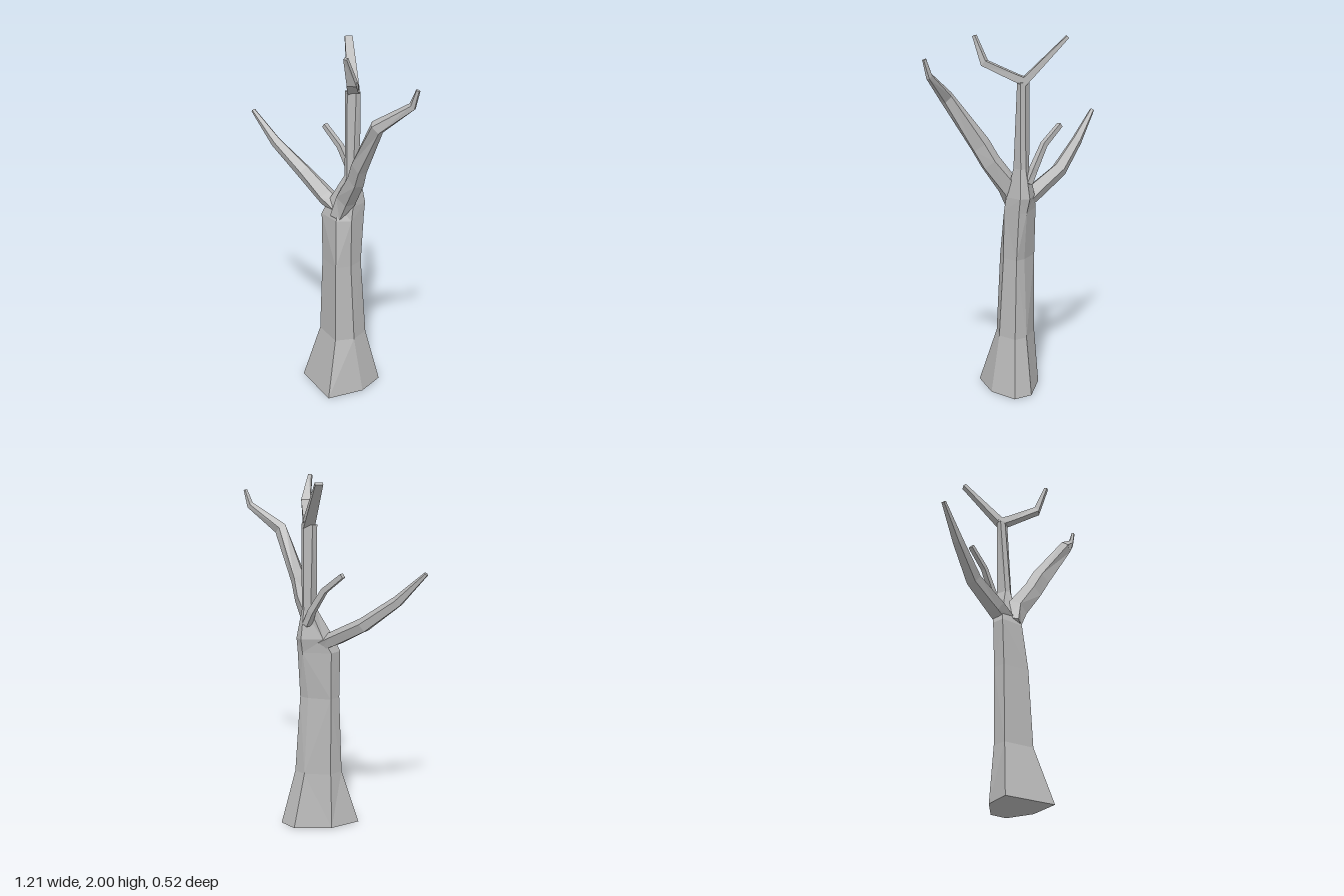
import * as THREE from 'three';

// Skins a stack of closed rings with facets and caps both ends
function loft(rings) {
  const n = rings[0].length, pos = [];
  const tri = (...ps) => ps.forEach((p) => pos.push(p.x, p.y, p.z));
  for (let r = 0; r < rings.length - 1; r++) {
    for (let i = 0; i < n; i++) {
      const j = (i + 1) % n, lo = rings[r], hi = rings[r + 1];
      if ((r + i) % 2) {
        tri(lo[i], lo[j], hi[j]);
        tri(lo[i], hi[j], hi[i]);
      } else {
        tri(lo[i], lo[j], hi[i]);
        tri(lo[j], hi[j], hi[i]);
      }
    }
  }
  const first = rings[0], last = rings[rings.length - 1];
  for (let i = 1; i < n - 1; i++) {
    tri(first[0], first[i + 1], first[i]);
    tri(last[0], last[i], last[i + 1]);
  }
  const g = new THREE.BufferGeometry();
  g.setAttribute('position', new THREE.Float32BufferAttribute(pos, 3));
  g.computeVertexNormals();
  return g;
}

// Tapered limb through stations [x, y, z, half width, half thickness]
function limb(stations, sides, turn) {
  const pts = stations.map(([x, y, z]) => new THREE.Vector3(x, y, z));
  const up = new THREE.Vector3(0, 1, 0);
  const rings = stations.map(([, , , w, h], k) => {
    const a = pts[Math.max(k - 1, 0)], b = pts[Math.min(k + 1, pts.length - 1)];
    const t = b.clone().sub(a).normalize();
    const u = up.clone().cross(t).normalize();
    const v = t.clone().cross(u);
    return Array.from({ length: sides }, (_, i) => {
      const ang = turn + (i / sides) * Math.PI * 2;
      return pts[k].clone().addScaledVector(u, Math.cos(ang) * w).addScaledVector(v, Math.sin(ang) * h);
    });
  });
  return loft(rings);
}

export function createModel() {
  const tree = new THREE.Group();
  tree.name = 'bareTree';
  const bark = new THREE.MeshStandardMaterial({ color: 0xb8b8b8, flatShading: true });
  bark.name = 'grey bark';
  const add = (name, geometry) => {
    const mesh = new THREE.Mesh(geometry, bark);
    mesh.name = name;
    tree.add(mesh);
  };

  // Trunk and central leader: height, then six x,z corners
  const trunk = [
    [0, [-0.17, 0.075], [0.1, 0.235], [0.225, 0.06], [0.24, -0.11], [0.14, -0.155], [-0.06, -0.07]],
    [0.32, [-0.08, 0.03], [0.08, 0.125], [0.16, 0.05], [0.17, -0.065], [0.1, -0.095], [-0.045, -0.05]],
    [0.77, [-0.068, 0.02], [0.07, 0.105], [0.13, 0.04], [0.14, -0.055], [0.085, -0.07], [-0.045, -0.05]],
    [1.04, [-0.075, 0.015], [0.055, 0.075], [0.13, 0.035], [0.145, -0.075], [0.105, -0.1], [-0.05, -0.055]],
    [1.12, [-0.04, 0.0], [0.05, 0.045], [0.13, 0.02], [0.147, -0.085], [0.105, -0.12], [-0.01, -0.075]],
    [1.28, [0.05, -0.025], [0.075, -0.005], [0.11, -0.015], [0.12, -0.07], [0.1, -0.09], [0.06, -0.085]],
    [1.75, [0.035, -0.05], [0.06, -0.032], [0.11, -0.04], [0.12, -0.07], [0.1, -0.086], [0.05, -0.08]],
  ];
  add('trunk', loft(trunk.map(([y, ...c]) => c.map(([x, z]) => new THREE.Vector3(x, y, z)))));

  // Main boughs
  add('leftBough', limb([
    [0.04, 1.06, 0.02, 0.06, 0.05], [0.09, 1.17, 0.03, 0.055, 0.065], [0.185, 1.315, 0.088, 0.045, 0.06],
    [0.225, 1.41, 0.125, 0.04, 0.06], [0.38, 1.675, 0.225, 0.03, 0.042],
    [0.56, 1.805, 0.195, 0.016, 0.022], [0.59, 1.892, 0.2, 0.01, 0.012],
  ], 5, 0.3));
  add('rightBough', limb([
    [0.02, 1.08, -0.02, 0.065, 0.04], [-0.07, 1.125, -0.035, 0.062, 0.045], [-0.25, 1.225, -0.083, 0.048, 0.042],
    [-0.44, 1.37, -0.085, 0.032, 0.032], [-0.598, 1.532, -0.093, 0.014, 0.012],
  ], 5, 0.3));

  // Small twig behind the leader
  add('backTwig', limb([
    [0.08, 1.2, -0.09, 0.03, 0.025], [0.045, 1.28, -0.105, 0.025, 0.025],
    [-0.035, 1.405, -0.12, 0.02, 0.022], [-0.152, 1.5, -0.148, 0.018, 0.018],
  ], 4, Math.PI / 4));

  // Forked crown
  add('frontFork', limb([
    [0.07, 1.75, -0.075, 0.045, 0.03], [0.1, 1.775, -0.02, 0.043, 0.028],
    [0.178, 1.85, 0.125, 0.036, 0.025], [0.178, 1.993, 0.19, 0.014, 0.012],
  ], 4, Math.PI / 4));
  add('backFork', limb([
    [0.09, 1.735, -0.05, 0.045, 0.028], [0.06, 1.785, -0.09, 0.042, 0.026],
    [-0.06, 1.99, -0.25, 0.03, 0.012],
  ], 4, Math.PI / 4));

  return tree;
}
